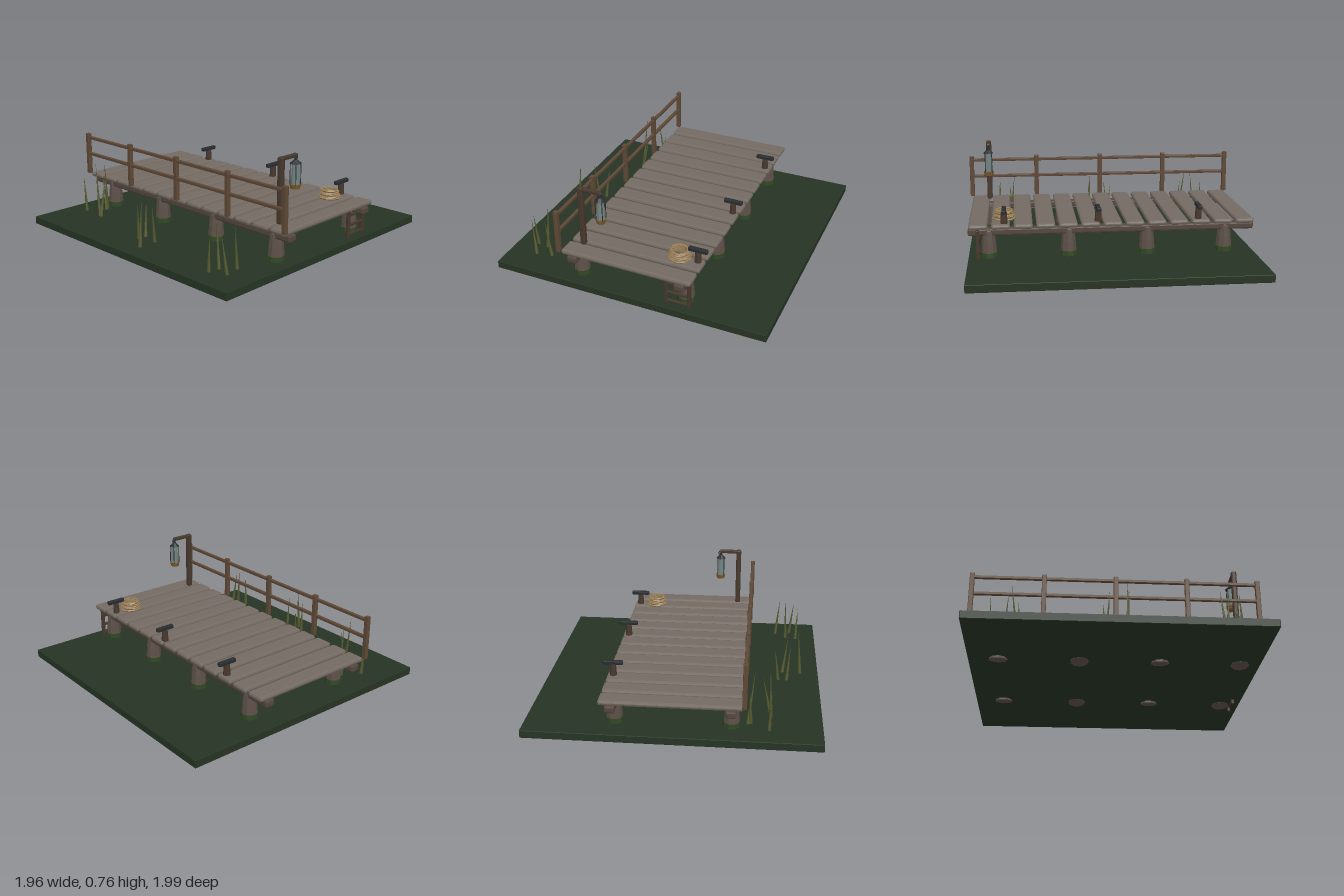
import * as THREE from 'three';
import { RoundedBoxGeometry } from 'three/addons/geometries/RoundedBoxGeometry.js';

const mat = (color) => new THREE.MeshStandardMaterial({ color, flatShading: true });
const M = {
  ground: mat(0x263424), plank: mat(0x736a62), beam: mat(0x54463c), pile: mat(0x5c5048),
  moss: mat(0x2f4522), rail: mat(0x5e4836), post: mat(0x46382d), iron: mat(0x292c30),
  glass: mat(0x71837f), brass: mat(0x7a5a2c), rope: mat(0x9a8058), reed: mat(0x555a30),
};

export function createModel() {
  const root = new THREE.Group();
  const add = (name, geo, m, x, y, z, parent = root) => {
    const mesh = new THREE.Mesh(geo, m);
    mesh.name = name;
    mesh.position.set(x, y, z);
    parent.add(mesh);
    return mesh;
  };
  const group = (name, x = 0, y = 0, z = 0) => {
    const g = new THREE.Group();
    g.name = name;
    g.position.set(x, y, z);
    root.add(g);
    return g;
  };
  const bar = (w, h, d, bevel = 0.005) => new RoundedBoxGeometry(w, h, d, 1, bevel);

  // Ground slab
  add('ground', bar(1.96, 0.055, 1.96, 0.004), M.ground, 0, 0.0625, 0);

  // Deck planks across two long beams
  for (let i = 0; i < 13; i++) {
    add('plank', bar(0.925, 0.036, 0.128, 0.015), M.plank, 0, 0.31, -0.91 + i * 0.1517);
  }
  for (const x of [-0.385, 0.385]) {
    add('beam', bar(0.07, 0.05, 1.96, 0.012), M.beam, x, 0.267, 0);

    // Tapered piles with a mossy foot and a slightly slanted tip under the slab
    [0.84, 0.3, -0.24, -0.78].forEach((z, i) => {
      const profile = [[0, 0.025], [0.062, 0.027], [0.057, 0.09], [0.05, 0.19], [0.041, 0.27], [0.033, 0.285], [0, 0.285]];
      const geo = new THREE.LatheGeometry(profile.map(([r, y]) => new THREE.Vector2(r, y)), 9);
      const pos = geo.attributes.position;
      for (let k = 0; k < pos.count; k++) {
        if (pos.getY(k) < 0.05) pos.setY(k, pos.getY(k) + 0.13 * pos.getX(k) * (i % 2 ? 1 : -1));
      }
      geo.computeVertexNormals();
      add('pile', geo, M.pile, x, 0, z);
      add('mossRing', new THREE.CylinderGeometry(0.056, 0.06, 0.035, 9), M.moss, x, 0.105, z);
    });
  }

  // Railing along the right edge
  const railing = group('railing', -0.47);
  for (let i = 0; i < 5; i++) {
    add('railPost', bar(0.03, 0.31, 0.032, 0.004), M.rail, 0, 0.475, -0.98 + i * 0.49, railing);
  }
  for (const y of [0.6, 0.475]) {
    add('rail', bar(0.022, 0.022, 1.97, 0.004), M.rail, 0, y, 0, railing);
  }

  // Lamp post with arm
  const lampPost = group('lampPost', -0.357, 0, 0.845);
  add('upright', bar(0.038, 0.44, 0.038, 0.01), M.post, 0, 0.545, 0, lampPost);
  add('arm', bar(0.165, 0.026, 0.026, 0.006), M.post, 0.065, 0.751, 0, lampPost);

  // Hanging lantern
  const lantern = group('lantern', -0.216, 0, 0.845);
  const hook = add('hook', new THREE.TorusGeometry(0.017, 0.004, 5, 10, Math.PI * 1.2), M.iron, 0, 0.738, 0, lantern);
  hook.rotation.z = -Math.PI / 2;
  add('cap', new THREE.CylinderGeometry(0.012, 0.038, 0.026, 8), M.iron, 0, 0.708, 0, lantern);
  add('finial', new THREE.CylinderGeometry(0.009, 0.012, 0.02, 6), M.iron, 0, 0.728, 0, lantern);
  add('glass', new THREE.CylinderGeometry(0.023, 0.029, 0.135, 8), M.glass, 0, 0.628, 0, lantern);
  add('base', new THREE.CylinderGeometry(0.037, 0.031, 0.03, 8), M.brass, 0, 0.545, 0, lantern);
  for (let i = 0; i < 4; i++) {
    const a = (i + 0.5) * Math.PI / 2;
    add('cageBar', new THREE.CylinderGeometry(0.003, 0.003, 0.145, 5), M.iron,
      0.034 * Math.cos(a), 0.63, 0.034 * Math.sin(a), lantern);
  }

  // Mooring bollards on the left edge
  for (const z of [0.735, 0.1, -0.59]) {
    const bollard = group('bollard', 0.42, 0, z);
    add('bollardPost', new THREE.CylinderGeometry(0.02, 0.025, 0.085, 8), M.post, 0, 0.365, 0, bollard);
    add('bollardBar', bar(0.135, 0.028, 0.03, 0.006), M.iron, 0, 0.418, 0, bollard);
  }

  // Coiled rope
  const coil = group('ropeCoil', 0.29, 0, 0.735);
  for (let i = 0; i < 5; i++) {
    const ring = add('ropeLoop', new THREE.TorusGeometry(0.072 - i * 0.004, 0.0085, 5, 9), M.rope,
      0, 0.336 + i * 0.0125, 0, coil);
    ring.rotation.set(Math.PI / 2, i % 2 ? 0.05 : -0.05, i * 0.5);
  }

  // Ladder at the front
  const ladder = group('ladder', 0.355, 0, 0.915);
  for (const x of [-0.08, 0.08]) {
    add('ladderRail', bar(0.024, 0.285, 0.024), M.post, x, 0.143, 0, ladder);
  }
  for (const y of [0.04, 0.105, 0.172, 0.243]) {
    add('rung', bar(0.16, 0.018, 0.018, 0.004), M.post, 0, y, 0, ladder);
  }

  // Reeds: base x, base z, tip x, tip z, tip height
  const reeds = [
    [-0.85, 0.05, -0.825, 0.05, 0.42], [-0.83, 0.68, -0.84, 0.7, 0.34],
    [-0.78, 0.79, -0.81, 0.77, 0.36], [-0.75, 0.69, -0.74, 0.66, 0.42],
    [-0.72, 0.05, -0.755, 0.07, 0.37], [-0.67, 0.77, -0.7, 0.78, 0.38],
    [-0.75, -0.08, -0.77, -0.06, 0.36], [-0.69, -0.08, -0.66, -0.1, 0.34],
    [-0.63, -0.82, -0.64, -0.83, 0.36], [-0.64, -0.64, -0.58, -0.65, 0.38],
    [-0.64, -0.65, -0.625, -0.7, 0.48], [-0.49, -0.75, -0.53, -0.72, 0.47],
    [-0.51, -0.74, -0.5, -0.78, 0.34],
  ];
  const up = new THREE.Vector3(0, 1, 0);
  for (const [bx, bz, tx, tz, h] of reeds) {
    const a = new THREE.Vector3(bx, 0.085, bz), b = new THREE.Vector3(tx, h, tz);
    const dir = b.clone().sub(a), mid = a.clone().lerp(b, 0.5);
    const reed = add('reed', new THREE.ConeGeometry(0.013, dir.length(), 5), M.reed, mid.x, mid.y, mid.z);
    reed.quaternion.setFromUnitVectors(up, dir.normalize());
  }
  return root;
}
